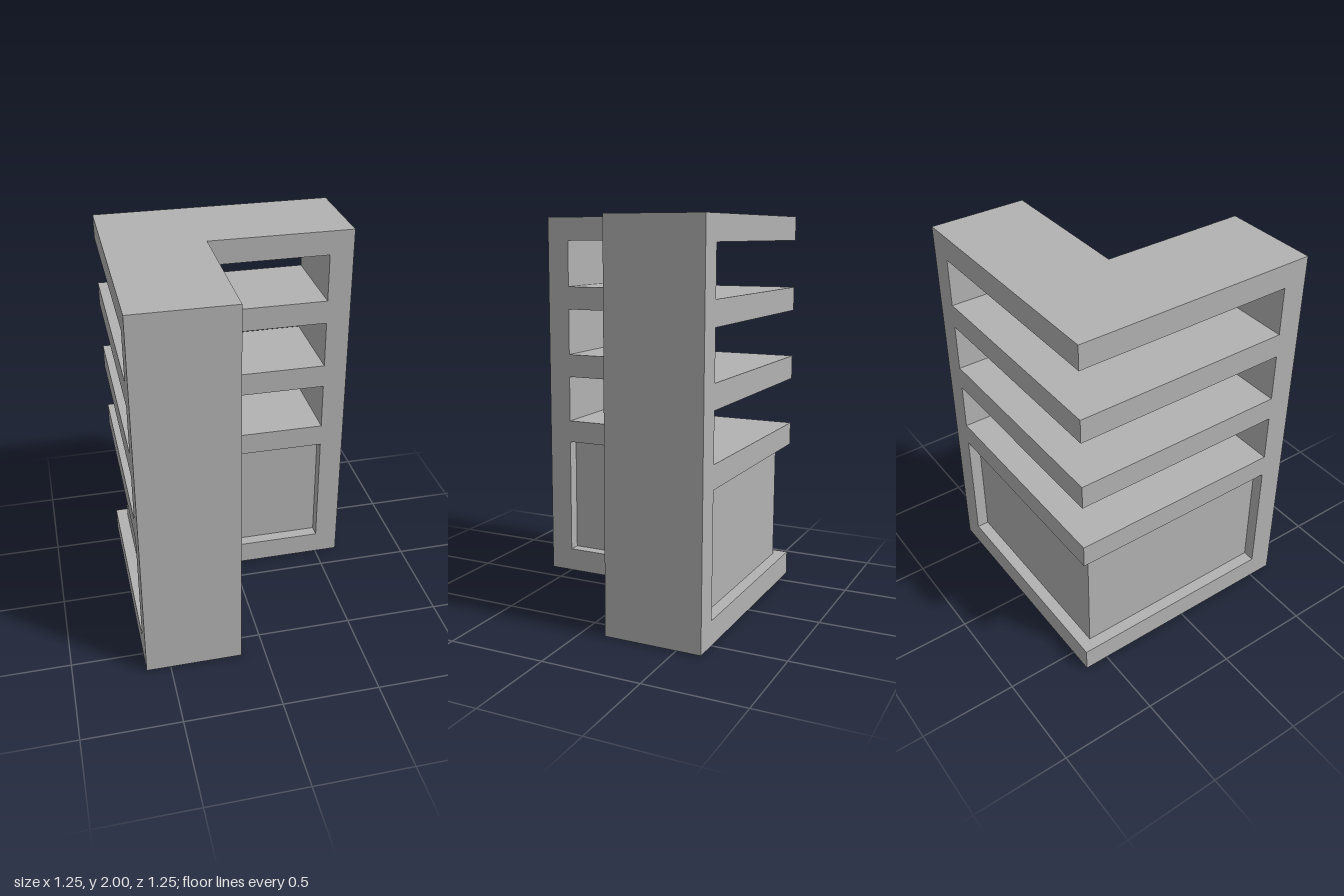
import * as THREE from 'three';

const OUT = 0.625;   // outer half width
const INNER = -0.125; // inside corner of the L
const POST = 0.125;  // thickness of end walls and shelves
const END = OUT - POST;

// L-shaped slab between the end walls, pulled in by inset on both long sides
function lSlab(y, height, inset = 0) {
  const a = -OUT + inset, b = INNER - inset;
  // outline as [x, z]
  const outline = [[a, a], [a, END], [b, END], [b, b], [END, b], [END, a]];
  const shape = new THREE.Shape(outline.map(([x, z]) => new THREE.Vector2(x, -z)));
  const geo = new THREE.ExtrudeGeometry(shape, { depth: height, bevelEnabled: false });
  geo.rotateX(-Math.PI / 2);
  geo.translate(0, y, 0);
  return geo;
}

export function createModel() {
  const group = new THREE.Group();
  group.name = 'cornerShelf';
  const grey = new THREE.MeshStandardMaterial({ color: 0xb2b2b2 });
  grey.name = 'grey';

  function add(name, geo) {
    const mesh = new THREE.Mesh(geo, grey);
    mesh.name = name;
    group.add(mesh);
    return mesh;
  }

  // base, counter, two shelves and top
  const levels = [['base', 0], ['counter', 0.755], ['lowerShelf', 1.125], ['upperShelf', 1.5], ['top', 1.875]];
  for (const [name, y] of levels) add(name, lSlab(y, name === 'counter' ? 0.12 : POST));

  // recessed closed cabinet between base and counter
  add('cabinet', lSlab(POST, 0.755 - POST, 0.0625));

  // full-height end walls
  const depth = INNER + OUT, mid = (INNER - OUT) / 2, edge = OUT - POST / 2;
  add('leftEndWall', new THREE.BoxGeometry(POST, 2, depth)).position.set(edge, 1, mid);
  add('frontEndWall', new THREE.BoxGeometry(depth, 2, POST)).position.set(mid, 1, edge);

  return group;
}
